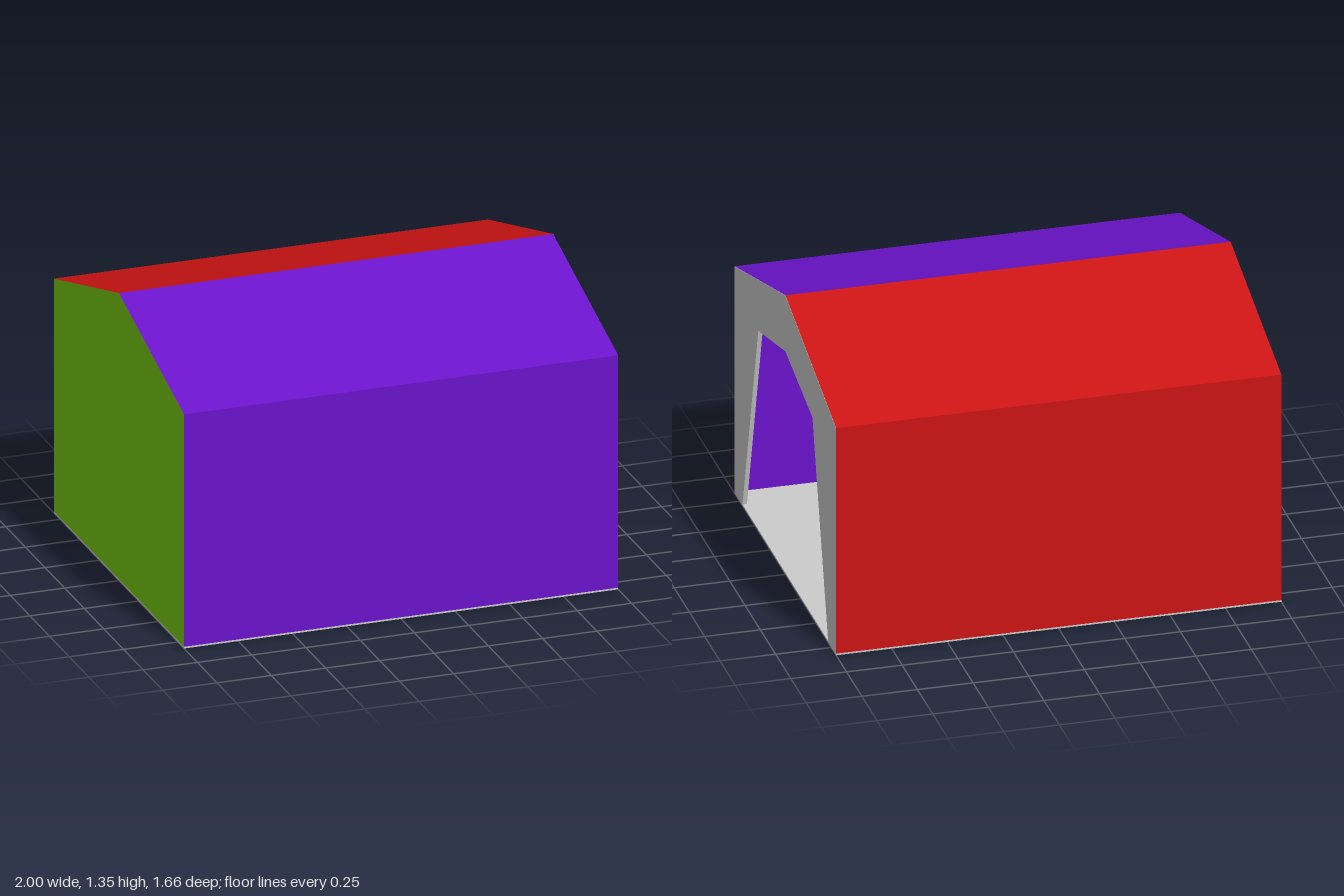
import * as THREE from 'three';

const HALF_DEPTH = 0.83, EAVE = 1.095, RIDGE = 1.345, FLOOR = 0.008, PANEL = 0.02;

const material = (color) =>
  new THREE.MeshStandardMaterial({ color, side: THREE.DoubleSide, flatShading: true });

// Symmetric gabled outline in the z-y plane
function gable(halfBase, halfEave, eave, ridge, base, Kind = THREE.Shape) {
  return new Kind([
    [-halfBase, base], [halfBase, base], [halfEave, eave], [0, ridge], [-halfEave, eave],
  ].map(([z, y]) => new THREE.Vector2(z, y)));
}

// Thin sheet that runs the full length in x along a [z, y] profile
function sheet(profile) {
  const pos = [];
  for (let i = 0; i < profile.length - 1; i++) {
    const [z0, y0] = profile[i], [z1, y1] = profile[i + 1];
    pos.push(-1, y0, z0, 1, y0, z0, 1, y1, z1, -1, y0, z0, 1, y1, z1, -1, y1, z1);
  }
  const g = new THREE.BufferGeometry();
  g.setAttribute('position', new THREE.Float32BufferAttribute(pos, 3));
  g.computeVertexNormals();
  return g;
}

export function createModel() {
  const group = new THREE.Group();
  const add = (name, geometry, color) => {
    const mesh = new THREE.Mesh(geometry, material(color));
    mesh.name = name;
    group.add(mesh);
    return mesh;
  };

  // Floor slab
  add('floor', new THREE.BoxGeometry(2, FLOOR, HALF_DEPTH * 2), 0xcccccc).position.y = FLOOR / 2;

  // Each long wall folds over into its half of the roof
  add('frontWallAndRoof',
    sheet([[HALF_DEPTH, FLOOR], [HALF_DEPTH, EAVE], [0, RIDGE]]), 0x6b14cc);
  add('backWallAndRoof',
    sheet([[0, RIDGE], [-HALF_DEPTH, EAVE], [-HALF_DEPTH, FLOOR]]), 0xcc1414);

  // Closed gable end
  const end = new THREE.ShapeGeometry(gable(HALF_DEPTH, HALF_DEPTH, EAVE, RIDGE, FLOOR));
  end.rotateY(-Math.PI / 2).translate(-1, 0, 0);
  add('closedEnd', end, 0x78cc14);

  // Entrance end: a thin panel with a tapered doorway reaching the floor
  const inset = HALF_DEPTH - 0.001;
  const panel = gable(inset, inset, EAVE - 0.001, RIDGE - 0.001, 0.001);
  panel.holes.push(gable(0.7, 0.443, 0.965, 1.075, FLOOR, THREE.Path));
  const entrance = new THREE.ExtrudeGeometry(panel, { depth: PANEL, bevelEnabled: false });
  entrance.rotateY(Math.PI / 2).translate(1.0005 - PANEL, 0, 0);
  add('entrancePanel', entrance, 0xcccccc);

  return group;
}
